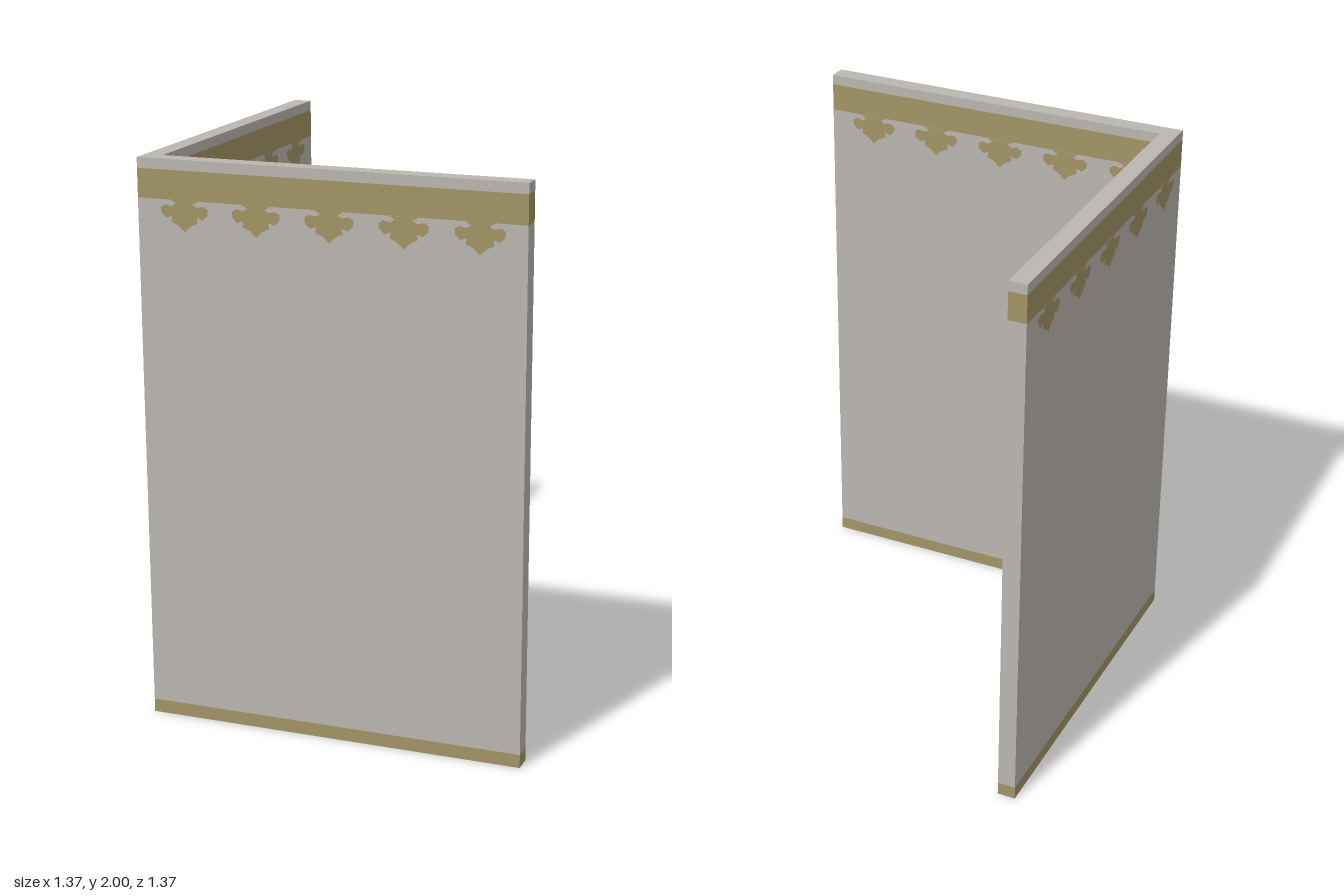
import * as THREE from 'three';

const H = 0.682;        // half width of each wall
const T = 0.065;        // wall thickness

export function createModel() {
  const group = new THREE.Group();
  group.name = 'cornerWall';

  const plaster = new THREE.MeshStandardMaterial({ color: 0xbab6b0 });
  plaster.name = 'grey plaster';
  const gold = new THREE.MeshStandardMaterial({ color: 0xa39465 });
  gold.name = 'dull gold';

  // L-shaped plan of the two walls (shape y is -z)
  const plan = new THREE.Shape([
    [-H, -H], [H, -H], [H, -H + T], [-H + T, -H + T], [-H + T, H], [-H, H],
  ].map(([x, y]) => new THREE.Vector2(x, y)));

  // Stacked layers: base trim, wall, frieze and top
  const layers = [
    ['baseTrim', 0, 0.048, gold],
    ['wall', 0.048, 1.864, plaster],
    ['friezeBand', 1.864, 1.964, gold],
    ['wallTop', 1.964, 2, plaster],
  ];
  for (const [name, y0, y1, material] of layers) {
    const geo = new THREE.ExtrudeGeometry(plan, { depth: y1 - y0, bevelEnabled: false });
    geo.rotateX(-Math.PI / 2).translate(0, y0, 0);
    const mesh = new THREE.Mesh(geo, material);
    mesh.name = name;
    group.add(mesh);
  }

  // Leafy pendant hanging below the frieze
  const half = [
    [0.052, 1.864], [0.03, 1.853], [0.045, 1.843], [0.07, 1.848], [0.086, 1.838],
    [0.084, 1.818], [0.066, 1.802], [0.045, 1.81], [0.048, 1.79], [0.022, 1.778],
  ];
  const outline = [
    ...half.map(([x, y]) => new THREE.Vector2(x, y)),
    new THREE.Vector2(0, 1.757),
    ...half.map(([x, y]) => new THREE.Vector2(-x, y)).reverse(),
  ];
  const pendantGeo = new THREE.ShapeGeometry(new THREE.Shape(outline));

  // Five pendants on each of the four large faces
  const lift = 0.002;
  const faces = [
    ['frontOuter', 0, 0, H + lift],
    ['frontInner', Math.PI, 0, H - T - lift],
    ['sideOuter', -Math.PI / 2, -H - lift, 0],
    ['sideInner', Math.PI / 2, -H + T + lift, 0],
  ];
  for (const [name, angle, x, z] of faces) {
    const row = new THREE.Group();
    row.name = name + 'Pendants';
    row.rotation.y = angle;
    row.position.set(x, 0, z);
    for (let i = -2; i <= 2; i++) {
      const pendant = new THREE.Mesh(pendantGeo, gold);
      pendant.name = 'pendant';
      pendant.position.x = 0.006 + i * 0.2585;
      row.add(pendant);
    }
    group.add(row);
  }
  return group;
}
